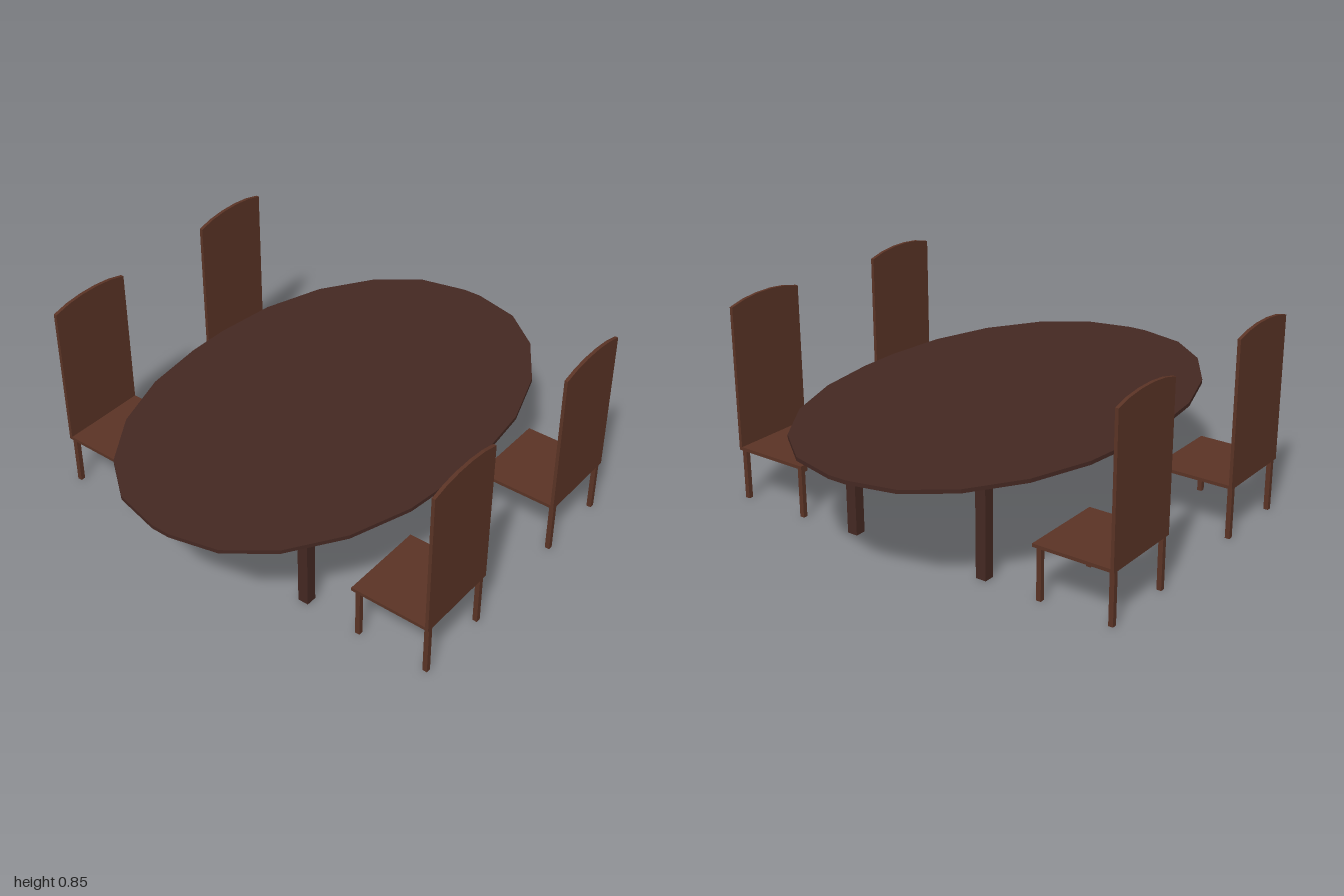
import * as THREE from 'three';

const tableMat = new THREE.MeshStandardMaterial({ color: 0x442822, flatShading: true });
const chairMat = new THREE.MeshStandardMaterial({ color: 0x5a3325, flatShading: true });

function box(name, mat, w, h, d, x, y, z) {
  const mesh = new THREE.Mesh(new THREE.BoxGeometry(w, h, d), mat);
  mesh.name = name;
  mesh.position.set(x, y, z);
  return mesh;
}

// Oval top with 24 straight edges, mirrored from one quadrant
function createTable() {
  const table = new THREE.Group();
  table.name = 'table';
  const q = [[1, 0.04], [0.953, 0.238], [0.82, 0.41], [0.607, 0.552], [0.352, 0.638], [0.09, 0.668]]
    .map(([x, z]) => new THREE.Vector2(x, z));
  const mirror = (pts, sx, sy) => pts.map(p => new THREE.Vector2(p.x * sx, p.y * sy));
  const r = [...q].reverse();
  const outline = [...q, ...mirror(r, -1, 1), ...mirror(q, -1, -1), ...mirror(r, 1, -1)];
  const geo = new THREE.ExtrudeGeometry(new THREE.Shape(outline), { depth: 0.016, bevelEnabled: false });
  geo.rotateX(-Math.PI / 2);
  const top = new THREE.Mesh(geo, tableMat);
  top.name = 'tableTop';
  top.position.y = 0.465;
  table.add(top);
  for (const sx of [-1, 1]) for (const sz of [-1, 1])
    table.add(box('tableLeg', tableMat, 0.046, 0.465, 0.046, sx * 0.566, 0.2325, sz * 0.317));
  return table;
}

// Chair with its backrest on the +z side, origin at the backrest's outer face
function createChair() {
  const chair = new THREE.Group();
  chair.name = 'chair';
  chair.add(box('seat', chairMat, 0.37, 0.014, 0.343, 0, 0.225, -0.1715));
  for (const x of [-0.163, 0.163]) for (const z of [-0.014, -0.322])
    chair.add(box('chairLeg', chairMat, 0.02, 0.218, 0.02, x, 0.109, z));

  // Tall panel with a shallow faceted arch on top
  const shape = new THREE.Shape();
  shape.moveTo(-0.185, 0.218);
  shape.lineTo(0.185, 0.218);
  for (const [x, y] of [[0.185, 0.829], [0.115, 0.846], [0.04, 0.854],
    [-0.04, 0.854], [-0.115, 0.846], [-0.185, 0.829]]) shape.lineTo(x, y);
  const back = new THREE.Mesh(
    new THREE.ExtrudeGeometry(shape, { depth: 0.014, bevelEnabled: false }), chairMat);
  back.name = 'backrest';
  back.position.z = -0.014;
  chair.add(back);
  return chair;
}

export function createModel() {
  const model = new THREE.Group();
  model.name = 'diningSet';
  model.add(createTable());
  // Two chairs on each long side, facing the table
  for (const side of [-1, 1]) for (const x of [-0.422, 0.422]) {
    const chair = createChair();
    chair.position.set(x, 0, side * 0.904);
    if (side < 0) chair.rotation.y = Math.PI;
    model.add(chair);
  }
  return model;
}
